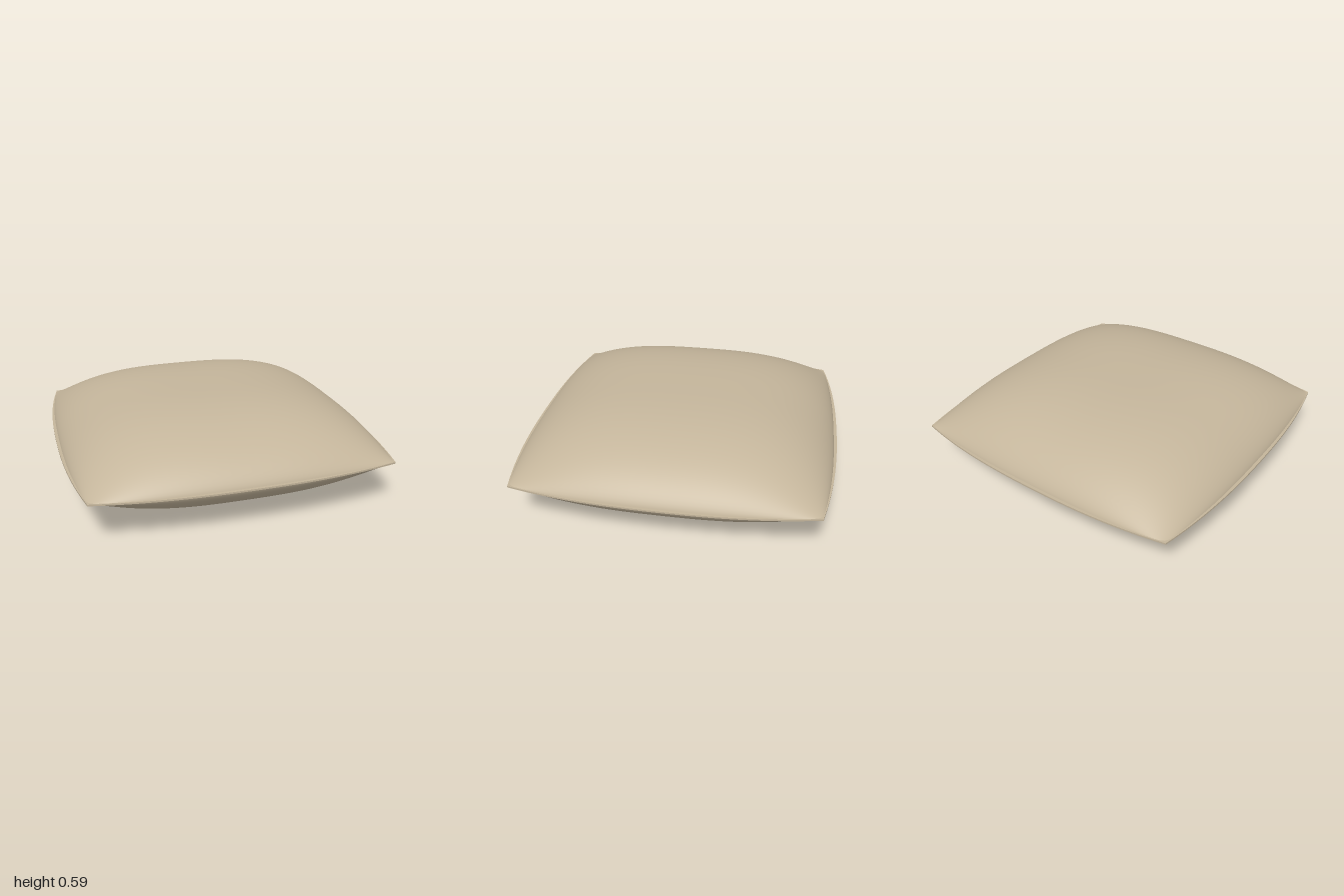
import * as THREE from 'three';

const HALF = 0.296;      // half thickness of the cushion
const SEGMENTS = 48;

// Distance of the seam from the centre line, s = -1..1 along a side
const edge = (s) => 0.982 - 0.067 * Math.abs(s) ** 2.5;
// Plumpness across the cushion, 1 in the middle and 0 at the seam
const puff = (u) => Math.max(0, 1 - Math.abs(u) ** 3) ** 0.7;
// Packs the grid lines closer together towards the seam
const ease = (t) => Math.sin(t * Math.PI / 2);

// One bulging fabric panel; side = 1 for the top, -1 for the bottom
function panel(side) {
  const geo = new THREE.PlaneGeometry(2, 2, SEGMENTS, SEGMENTS);
  geo.rotateX(-side * Math.PI / 2);
  const p = geo.attributes.position;
  for (let i = 0; i < p.count; i++) {
    const u = ease(p.getX(i)), v = ease(p.getZ(i));
    p.setXYZ(i, u * edge(v), side * HALF * puff(u) * puff(v), v * edge(u));
  }
  geo.computeVertexNormals();
  return geo;
}

// Thin flat seam that stands out most at the middle of each side
function seam() {
  const points = [], steps = 24, thickness = 0.01;
  for (let k = 0; k < 4; k++) {
    for (let i = 0; i < steps; i++) {
      const s = -1 + 2 * i / steps;
      const out = edge(s) + 0.018 * (1 - s * s);
      points.push(new THREE.Vector2(out, s * edge(1))
        .rotateAround(new THREE.Vector2(), k * Math.PI / 2));
    }
  }
  const geo = new THREE.ExtrudeGeometry(new THREE.Shape(points),
    { depth: thickness, bevelEnabled: false });
  geo.translate(0, 0, -thickness / 2);
  geo.rotateX(-Math.PI / 2);
  return geo;
}

export function createModel() {
  const fabric = new THREE.MeshStandardMaterial({ color: 0xc4b59b });
  fabric.name = 'beige fabric';

  const cushion = new THREE.Group();
  cushion.name = 'cushion';
  const add = (name, geo) => {
    const mesh = new THREE.Mesh(geo, fabric);
    mesh.name = name;
    mesh.position.y = HALF;
    cushion.add(mesh);
  };
  add('topPanel', panel(1));
  add('bottomPanel', panel(-1));
  add('seam', seam());
  return cushion;
}
